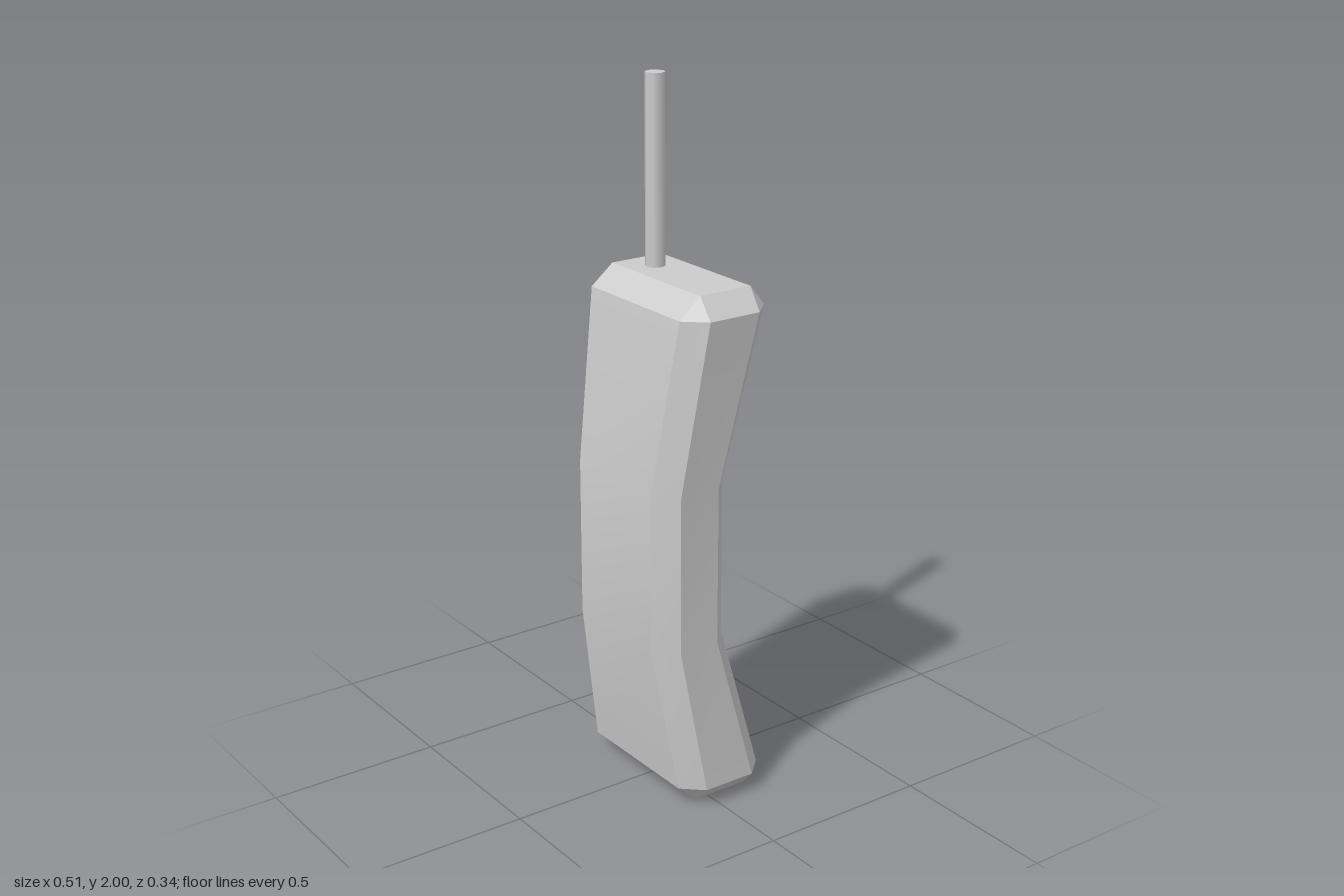
import * as THREE from 'three';
import { toCreasedNormals } from 'three/addons/utils/BufferGeometryUtils.js';

// Chamfered cross-section: x = inner/outer half width, z = front, side front, side back, back
function ring(y, xi, xo, f, sf, sb, b) {
  return [[-xo, sf], [-xi, f], [xi, f], [xo, sf], [xo, sb], [xi, b], [-xi, b], [-xo, sb]]
    .map(([x, z]) => new THREE.Vector3(x, y, z));
}

// Skin the rings from bottom to top and close both ends
function loft(rings) {
  const pos = [];
  const tri = (a, b, c) => {
    if (a.equals(b) || b.equals(c) || c.equals(a)) return; // collapsed corner
    for (const p of [a, b, c]) pos.push(p.x, p.y, p.z);
  };
  for (let i = 0; i < rings.length - 1; i++) {
    const lo = rings[i], hi = rings[i + 1];
    for (let j = 0; j < lo.length; j++) {
      const k = (j + 1) % lo.length;
      tri(lo[j], lo[k], hi[k]);
      tri(lo[j], hi[k], hi[j]);
    }
  }
  const bottom = rings[0], top = rings[rings.length - 1];
  for (const [a, b, c] of [[1, 2, 5], [1, 5, 6]]) {
    tri(top[a], top[b], top[c]);
    tri(bottom[a], bottom[c], bottom[b]);
  }
  const geo = new THREE.BufferGeometry();
  geo.setAttribute('position', new THREE.Float32BufferAttribute(pos, 3));
  return toCreasedNormals(geo, Math.PI / 6);
}

export function createModel() {
  const group = new THREE.Group();
  group.name = 'handset';
  const material = new THREE.MeshStandardMaterial({ color: 0xcccccc });

  // Curved, chamfered body, narrower at the waist; the end rings collapse to rectangles
  const cap = y => ring(y, 0.2, 0.2, 0.036, 0.036, -0.128, -0.128);
  const end = y => ring(y, 0.202, 0.256, 0.103, 0.044, -0.115, -0.172);
  const waist = y => ring(y, 0.168, 0.226, 0.172, 0.114, -0.01, -0.066);
  const body = new THREE.Mesh(
    loft([cap(0), end(0.056), waist(0.488), waist(0.94), end(1.42), cap(1.476)]), material);
  body.name = 'body';
  group.add(body);

  // Thin eight-sided antenna
  const antenna = new THREE.Mesh(new THREE.CylinderGeometry(0.028, 0.028, 0.56, 8), material);
  antenna.name = 'antenna';
  antenna.position.set(-0.11, 1.72, -0.043);
  group.add(antenna);

  return group;
}
